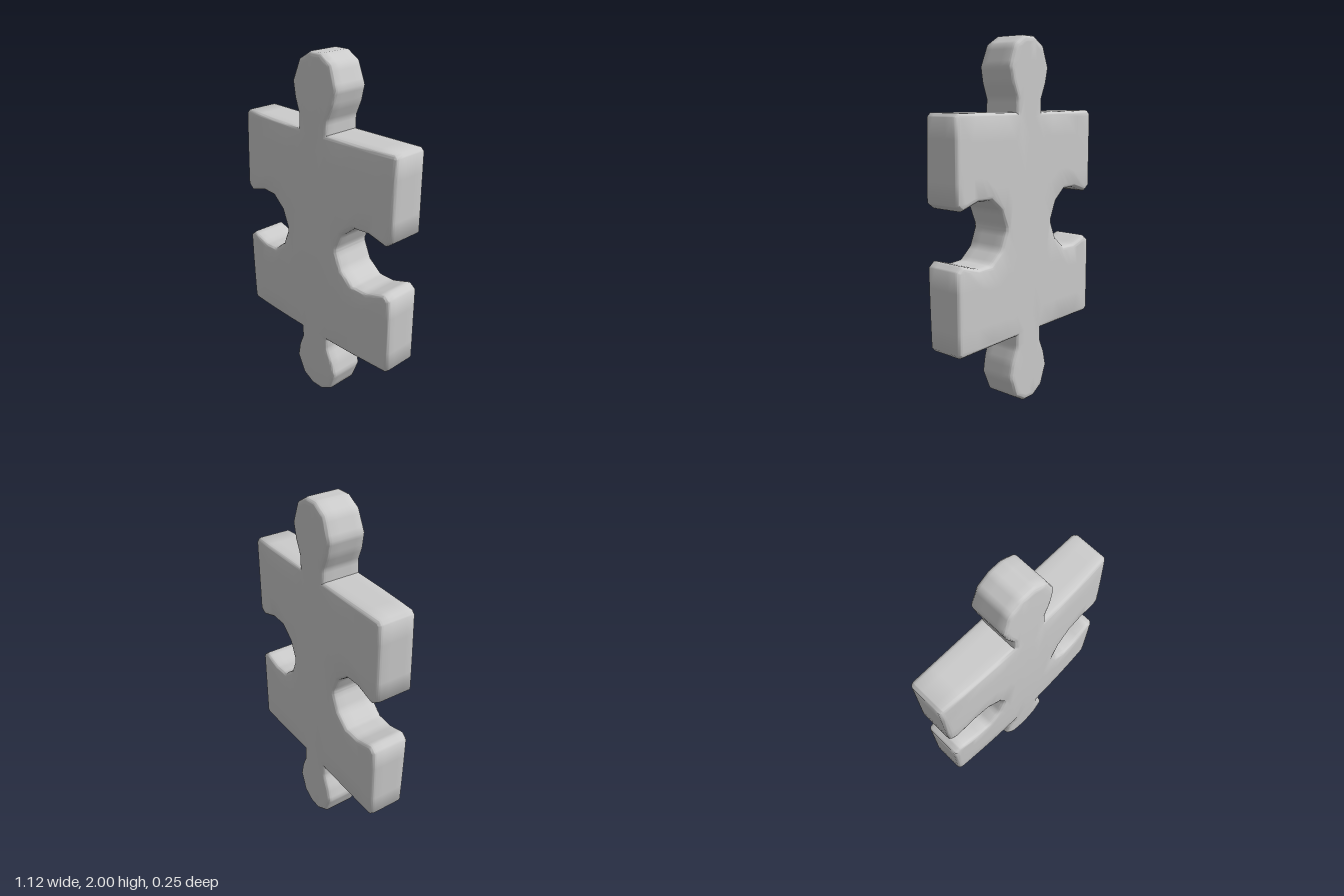
import * as THREE from 'three';
import { toCreasedNormals } from 'three/addons/utils/BufferGeometryUtils.js';

const BEVEL = 0.025, BACK = -0.123, FRONT = 0.125;

// Right half of the upper outline, from the knob tip to the notch (height measured from the middle).
const knob = [[0.04, 1], [0.115, 0.955], [0.16, 0.84], [0.14, 0.755], [0.105, 0.675], [0.105, 0.607]];
const body = [[0.54, 0.61], [0.56, 0.59], [0.56, 0.165], [0.52, 0.135],
  [0.405, 0.17], [0.312, 0.167], [0.235, 0.105], [0.195, 0.012]];

function outline() {
  // the knobs sit a touch off centre
  const quarter = (sx, sy) => [
    ...knob.map(([x, y]) => new THREE.Vector2(sx * x + 0.005, 1 + sy * y)),
    ...body.map(([x, y]) => new THREE.Vector2(sx * x, 1 + sy * y)),
  ];
  return [
    ...quarter(1, 1), ...quarter(1, -1).reverse(),
    ...quarter(-1, -1), ...quarter(-1, 1).reverse(),
  ].reverse();
}

// Splits every triangle into four.
function subdivide(geometry) {
  const p = geometry.attributes.position, out = [];
  for (let i = 0; i < p.count; i += 3) {
    const [a, b, c] = [0, 1, 2].map((k) => new THREE.Vector3().fromBufferAttribute(p, i + k));
    const mid = (u, v) => u.clone().add(v).multiplyScalar(0.5);
    const ab = mid(a, b), bc = mid(b, c), ca = mid(c, a);
    for (const v of [a, ab, ca, ab, b, bc, ca, bc, c, ab, bc, ca]) out.push(v.x, v.y, v.z);
  }
  return new THREE.BufferGeometry().setAttribute('position', new THREE.Float32BufferAttribute(out, 3));
}

function pieceGeometry() {
  let geometry = new THREE.ExtrudeGeometry(new THREE.Shape(outline()), {
    depth: FRONT - BACK - 2 * BEVEL,
    bevelEnabled: true, bevelThickness: BEVEL, bevelSize: BEVEL, bevelOffset: -BEVEL, bevelSegments: 3,
  });
  geometry.translate(0, 0, BACK + BEVEL);
  if (geometry.index) geometry = geometry.toNonIndexed();
  geometry = subdivide(subdivide(geometry));

  // dome the front face gently, leaving the back flat
  const p = geometry.attributes.position;
  for (let i = 0; i < p.count; i++) {
    const x = p.getX(i), dy = p.getY(i) - 1, z = p.getZ(i);
    if (z > 0) p.setZ(i, z - (0.075 * x * x + 0.038 * dy * dy) * (z / FRONT));
  }
  return toCreasedNormals(geometry, 1.0);
}

export function createModel() {
  const group = new THREE.Group();
  group.name = 'jigsawPiece';
  const piece = new THREE.Mesh(
    pieceGeometry(),
    new THREE.MeshStandardMaterial({ color: 0xcccccc }),
  );
  piece.name = 'puzzlePiece';
  group.add(piece);
  return group;
}
